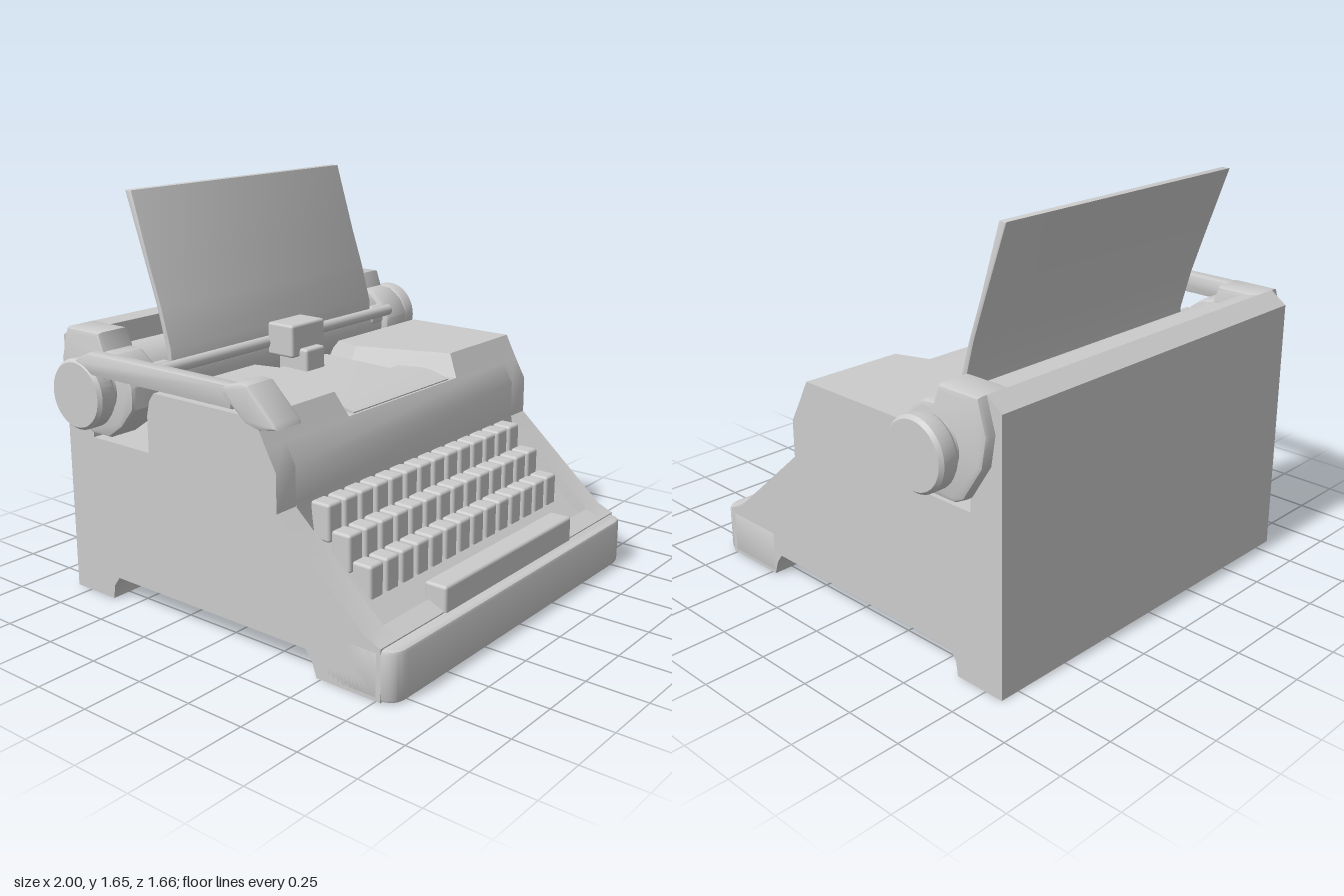
import * as THREE from 'three';
import { toCreasedNormals } from 'three/addons/utils/BufferGeometryUtils.js';
import { RoundedBoxGeometry } from 'three/addons/geometries/RoundedBoxGeometry.js';

const grey = new THREE.MeshStandardMaterial({ color: 0xcccccc });

export function createModel() {
  const model = new THREE.Group();

  const add = (name, geometry) => {
    const mesh = new THREE.Mesh(geometry, grey);
    mesh.name = name;
    model.add(mesh);
    return mesh;
  };

  // Extrudes a [z, y] side profile across x0..x1, with an optional bevel kept inside it
  const side = (points, x0, x1, bevel = 0) => {
    const shape = new THREE.Shape(points.map(([z, y]) => new THREE.Vector2(z, y)));
    const g = new THREE.ExtrudeGeometry(shape, {
      depth: x1 - x0 - 2 * bevel, bevelEnabled: bevel > 0, bevelSize: bevel,
      bevelThickness: bevel, bevelOffset: -bevel, bevelSegments: 2,
    });
    g.rotateY(-Math.PI / 2).translate(x1 - bevel, 0, 0);
    return toCreasedNormals(g, 0.6);
  };

  const box = (name, x0, x1, y0, y1, z0, z1, r = 0.012) => {
    const m = add(name, new RoundedBoxGeometry(x1 - x0, y1 - y0, z1 - z0, 2, r));
    m.position.set((x0 + x1) / 2, (y0 + y1) / 2, (z0 + z1) / 2);
    return m;
  };

  // Main housing: two cheeks and a core holding the sunken keyboard well
  const under = [[-0.83, 0], [-0.61, 0], [-0.6, 0.06], [-0.57, 0.1], [0.43, 0.1], [0.46, 0.06], [0.48, 0]];
  const upper = [[0.3, 0.74], [0.25, 0.83], [-0.36, 0.83], [-0.36, 0.68], [-0.68, 0.68],
    [-0.69, 1.12], [-0.76, 1.13], [-0.83, 1.08]];
  const cheek = [...under, [0.77, 0], [0.77, 0.205], [0.7, 0.235], [0.3, 0.585], ...upper];
  const core = [...under, [0.77, 0], [0.77, 0.205], [0.7, 0.235], [0.69, 0.19], [0.32, 0.47], [0.3, 0.6], ...upper];
  add('housingCore', side(core, -0.73, 0.73));
  add('leftCheek', side(cheek, 0.73, 0.835));
  add('rightCheek', side(cheek, -0.835, -0.73));

  // Front tray with rounded corners
  const tray = new THREE.Shape();
  tray.moveTo(-0.835, -0.48);
  tray.lineTo(-0.835, -0.75);
  tray.quadraticCurveTo(-0.835, -0.83, -0.755, -0.83);
  tray.lineTo(0.755, -0.83);
  tray.quadraticCurveTo(0.835, -0.83, 0.835, -0.75);
  tray.lineTo(0.835, -0.48);
  const trayGeometry = new THREE.ExtrudeGeometry(tray, {
    depth: 0.17, bevelSize: 0.015, bevelOffset: -0.015, bevelThickness: 0.015, bevelSegments: 2,
  });
  trayGeometry.rotateX(-Math.PI / 2).translate(0, 0.015, 0);
  add('frontTray', toCreasedNormals(trayGeometry, 0.6));

  // Upper deck: inner walls flare around the type basket opening
  const innerWall = (z, y) => (z < -0.2 ? 0.2 - (z + 0.2) * 0.25 : 0.2 + (z + 0.2) * 0.36) + (y - 0.83) * 0.45;
  const decks = [
    [[-0.2, 0.83], [0.25, 0.83], [0.2, 0.925], [-0.2, 0.925]],
    [[-0.36, 0.83], [-0.2, 0.83], [-0.2, 0.925], [-0.32, 0.925], [-0.345, 0.89]],
  ];
  for (const profile of decks) {
    const g = side(profile, 0, 0.835);
    const p = g.attributes.position;
    for (let i = 0; i < p.count; i++) {
      if (p.getX(i) < 0.01) p.setX(i, innerWall(p.getZ(i), p.getY(i)));
    }
    g.computeVertexNormals();
    add('leftDeck', g);
    add('rightDeck', g).scale.x = -1;
  }
  add('typeBasketFloor', side([[-0.35, 0.8], [0.24, 0.8], [0.24, 0.835], [0.14, 0.86], [-0.35, 0.87]], -0.22, 0.22));
  add('typeBasketFront', side([[0, 0.8], [0.24, 0.8], [0.24, 0.835], [0.14, 0.86], [0, 0.862]], -0.32, 0.32));

  // Type guide on its stem
  box('typeGuideHead', -0.105, 0.105, 0.925, 1.065, -0.4, -0.26);
  box('typeGuideStem', -0.06, 0.06, 0.82, 0.96, -0.38, -0.22);

  // Three stepped rows of keys and the space bar
  for (let row = 0; row < 3; row++) {
    const top = 0.587 - row * 0.095;
    const z = 0.302 + row * 0.097;
    for (let i = 0; i < 14; i++) {
      const x = (i - 6.5) * 0.0945;
      box('key', x - 0.039, x + 0.039, top - 0.15, top, z, z + 0.09);
    }
  }
  box('spaceBar', -0.455, 0.455, 0.18, 0.303, 0.68, 0.778);

  // Carriage: platen, paper rod and end plates
  const across = (name, r, length, y, z) => {
    const g = new THREE.CylinderGeometry(r, r, length, 40);
    g.rotateZ(Math.PI / 2).translate(0, y, z);
    add(name, g);
  };
  across('platen', 0.15, 1.5, 0.91, -0.575);
  across('paperRod', 0.025, 1.5, 0.975, -0.41);

  const plate = [[-0.57, 1.13], [-0.76, 1.13], [-0.8, 1.0], [-0.78, 0.88], [-0.69, 0.74], [-0.64, 0.715],
    [-0.54, 0.715], [-0.46, 0.77], [-0.395, 0.85], [-0.39, 0.94], [-0.43, 1.01], [-0.49, 1.055], [-0.545, 1.06]];
  const plateGeometry = side(plate, 0.72, 0.88, 0.02);
  const knobProfile = [[0, 0], [0.1, 0], [0.1, 0.06], [0.13, 0.065], [0.14, 0.08], [0.14, 0.135], [0.128, 0.15], [0, 0.15]]
    .map(([r, h]) => new THREE.Vector2(r, h));
  const knobGeometry = toCreasedNormals(new THREE.LatheGeometry(knobProfile, 40), 0.6);
  knobGeometry.rotateZ(-Math.PI / 2).translate(0.85, 0.91, -0.575);
  for (const s of [1, -1]) {
    add('carriageEnd', plateGeometry).scale.x = s;
    add('platenKnob', knobGeometry).scale.x = s;
    const x = s * 0.69;
    box('platenBracket', x - 0.05, x + 0.05, 0.92, 1.0, -0.7, -0.42);
  }

  // Sheet of paper leaning back
  add('paper', side([[-0.425, 0.95], [-0.43, 1.04], [-0.475, 1.2], [-0.53, 1.36], [-0.62, 1.65], [-0.655, 1.65],
    [-0.553, 1.36], [-0.498, 1.2], [-0.455, 1.04], [-0.45, 0.95]], -0.635, 0.635, 0.005));

  // Carriage return lever with its thumb pad
  add('returnLeverArm', side([[0.24, 1.0], [0.24, 1.085], [-0.5, 1.085], [-0.57, 1.05], [-0.57, 0.95], [-0.5, 1.0]],
    -0.995, -0.93, 0.01));
  add('returnLeverPad', side([[0.455, 0.965], [0.445, 0.985], [0.325, 1.1], [0.29, 1.103], [0.21, 1.08], [0.205, 1.05],
    [0.31, 0.965], [0.37, 0.95]], -1, -0.865, 0.012));

  return model;
}
